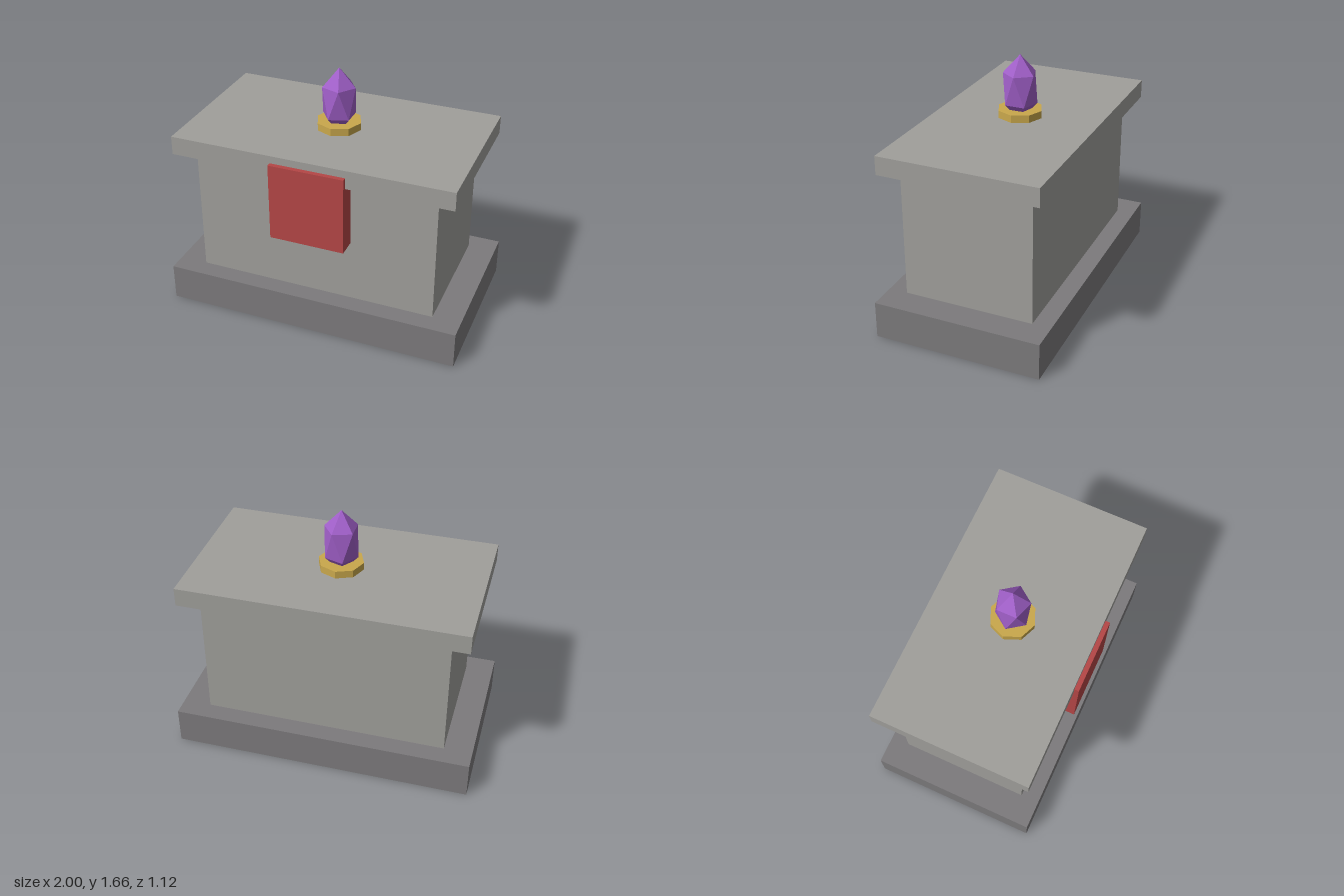
import * as THREE from 'three';

function material(name, color) {
  const m = new THREE.MeshStandardMaterial({ color });
  m.name = name;
  return m;
}

export function createModel() {
  const group = new THREE.Group();
  group.name = 'altar';

  const stone = material('stone', 0xa09f9b);
  const darkStone = material('darkStone', 0x7c7a7c);
  const redCloth = material('redCloth', 0xb54646);
  const gold = material('gold', 0xc9a84c);
  const purple = material('purpleCrystal', 0xa05fc8);

  function add(name, geometry, mat, y, z = 0) {
    const mesh = new THREE.Mesh(geometry, mat);
    mesh.name = name;
    mesh.position.set(0, y, z);
    group.add(mesh);
  }

  // Stone blocks, from the plinth up
  add('plinth', new THREE.BoxGeometry(2, 0.25, 1.125), darkStone, 0.125);
  add('body', new THREE.BoxGeometry(1.625, 0.875, 0.875), stone, 0.6875);
  add('topSlab', new THREE.BoxGeometry(1.875, 0.125, 1.0625), stone, 1.1875);

  // Cloth panel hanging at the front
  add('cloth', new THREE.BoxGeometry(0.5, 0.525, 0.125), redCloth, 0.9375, 0.5);

  // Octagonal crystal holder
  const holder = new THREE.CylinderGeometry(0.15, 0.15, 0.05, 8).toNonIndexed();
  holder.computeVertexNormals();
  add('crystalHolder', holder, gold, 1.275);

  // Crystal: an icosahedron turned onto one corner and stretched upward
  const crystal = new THREE.IcosahedronGeometry(0.125, 0);
  crystal.rotateZ(-Math.atan(2 / (1 + Math.sqrt(5))));
  crystal.scale(1, 1.8, 1);
  crystal.computeVertexNormals();
  add('crystal', crystal, purple, 1.4375);

  return group;
}
